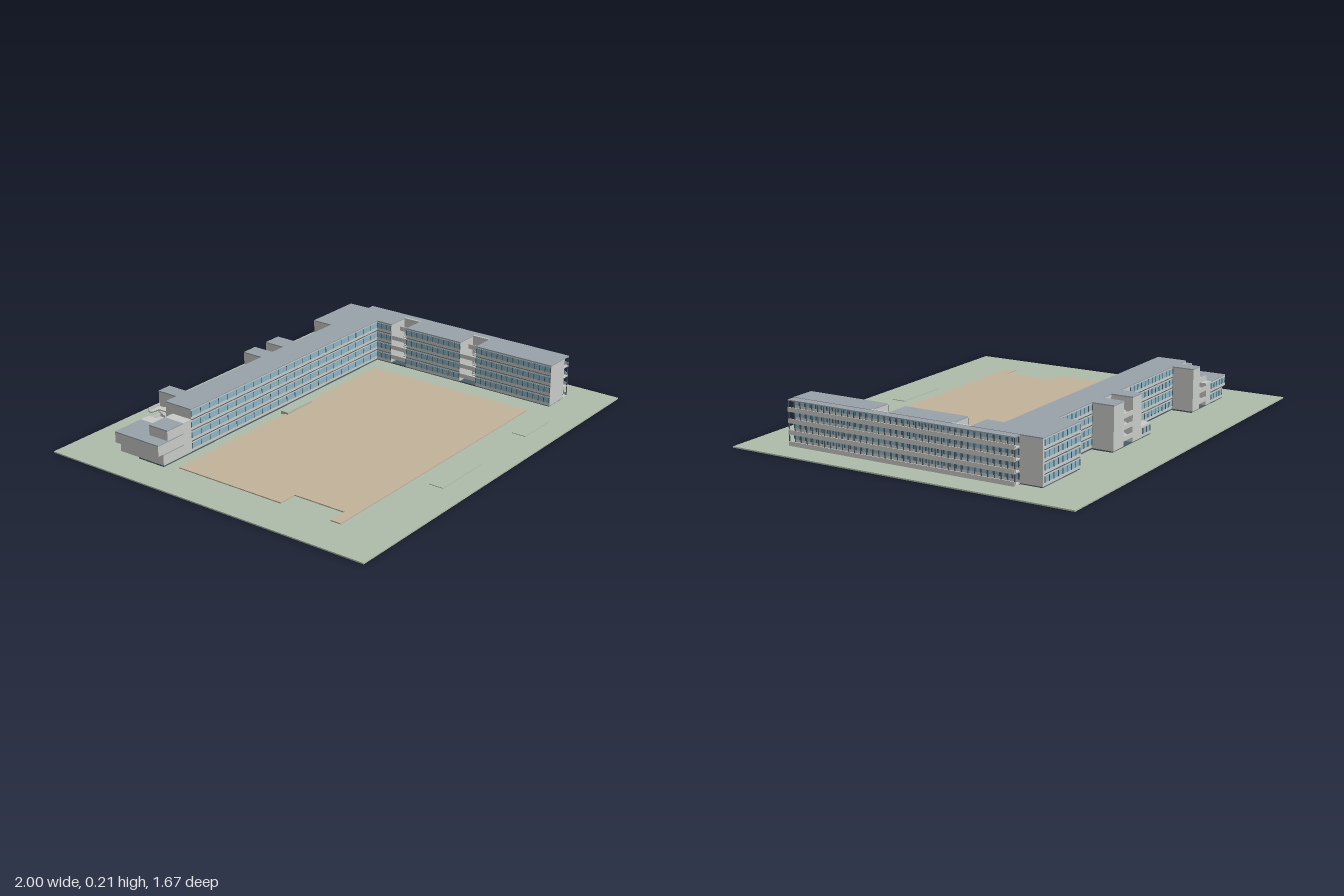
import * as THREE from 'three';
import { mergeGeometries } from 'three/addons/utils/BufferGeometryUtils.js';

const paint = (name, color) => {
  const m = new THREE.MeshStandardMaterial({ color });
  m.name = name;
  return m;
};

// Floor levels of the four storeys and the top of the roof
const FLOORS = [0.012, 0.062, 0.112, 0.162];
const TOP = 0.212;

// Box geometry from its extents
function box(x0, x1, y0, y1, z0, z1) {
  return new THREE.BoxGeometry(x1 - x0, y1 - y0, z1 - z0)
    .translate((x0 + x1) / 2, (y0 + y1) / 2, (z0 + z1) / 2);
}

export function createModel() {
  const model = new THREE.Group();
  const grass = paint('grass', 0xaebcaa);
  const sand = paint('sand', 0xc3b39b);
  const wall = paint('pale concrete', 0xc9cbc8);
  const roof = paint('grey roof', 0x9aa2aa);
  const glass = paint('blue glass', 0x8db4c3);
  const frame = paint('dark frame', 0x4c5d66);

  const part = (name, material, boxes, parent = model) => {
    const mesh = new THREE.Mesh(mergeGeometries(boxes), material);
    mesh.name = name;
    parent.add(mesh);
    return mesh;
  };

  // Solid volume with a grey roof plate
  const block = (name, x0, x1, z0, z1, y0 = FLOORS[0], y1 = TOP) => {
    part(name, wall, [box(x0, x1, y0, y1 - 0.005, z0, z1)]);
    part(name + 'Roof', roof, [box(x0, x1, y1 - 0.005, y1, z0, z1)]);
  };

  // Window bands on one face: axis is the direction the band runs in,
  // at is the plane of the wall and out its outward sign
  const windows = (name, axis, a, b, at, out, step = 0.03, floors = FLOORS, post = 0.003) => {
    const plate = (s, e, y0, y1, t) => {
      const p = Math.min(at, at + out * t), q = Math.max(at, at + out * t);
      return axis === 'x' ? box(s, e, y0, y1, p, q) : box(p, q, y0, y1, s, e);
    };
    part(name + 'Glass', glass, floors.map(y => plate(a, b, y + 0.015, y + 0.041, 0.002)));
    part(name + 'Sills', frame, floors.map(y => plate(a, b, y - 0.001, y + 0.001, 0.004)));
    const n = Math.max(1, Math.round((b - a) / step));
    const posts = [];
    for (const y of floors) {
      for (let i = 0; i <= n; i++) {
        const c = a + post / 2 + (b - a - post) * i / n;
        posts.push(plate(c - post / 2, c + post / 2, y + 0.015, y + 0.041, 0.004));
      }
    }
    part(name + 'Posts', frame, posts);
  };

  // Ground and sports yard with a notch on its west side
  part('ground', grass, [box(-1, 1, 0, 0.006, -0.835, 0.835)]);
  part('yard', sand, [
    box(-0.71, 0.61, 0.006, 0.011, -0.285, 0.575),
    box(-0.8, -0.71, 0.006, 0.011, -0.285, 0.27),
    box(-0.8, -0.71, 0.006, 0.011, 0.525, 0.575),
  ]);
  part('flowerBeds', grass, [
    box(-0.09, 0.09, 0.006, 0.021, -0.305, -0.265),
    box(-0.29, 0, 0.006, 0.009, 0.65, 0.72),
    box(0.36, 0.57, 0.006, 0.009, 0.65, 0.72),
  ]);
  part('plinth', frame, [
    box(-0.83, 0.83, 0.006, 0.012, -0.49, -0.345),
    box(0.715, 0.865, 0.006, 0.012, -0.34, 0.63),
    box(0.535, 0.825, 0.006, 0.012, -0.59, -0.49),
    box(-0.82, -0.51, 0.006, 0.012, -0.59, -0.49),
    box(-0.09, 0.25, 0.006, 0.012, -0.59, -0.49),
  ]);

  // Long north wing and its corner block
  block('northWing', -0.65, 0.53, -0.49, -0.345);
  block('cornerBlock', 0.53, 0.83, -0.595, -0.345);
  windows('northFront', 'x', -0.65, 0.71, -0.345, 1, 0.06, FLOORS, 0.0015);
  windows('cornerBack', 'x', 0.54, 0.82, -0.595, -1, 0.035);
  for (const [a, b] of [[-0.51, -0.09], [0.25, 0.53]]) {
    windows('northBack', 'x', a, b, -0.49, -1, 0.035);
  }

  // Towers beside the back stairs and the low annexe
  for (const [a, b] of [[-0.58, -0.51], [0, 0.08], [0.16, 0.25]]) {
    block('stairTower', a, b, -0.595, -0.49);
  }
  part('annexe', wall, [box(-0.09, 0, 0.012, 0.062, -0.595, -0.49)]);
  windows('annexe', 'x', -0.08, -0.01, -0.595, -1, 0.035, [FLOORS[0]]);

  // Stepped terraces at the west end
  block('terraceLow', -0.83, -0.7, -0.595, -0.345, 0.012, 0.064);
  block('terraceMiddle', -0.86, -0.7, -0.595, -0.345, 0.064, 0.116);
  block('terraceHigh', -0.8, -0.7, -0.45, -0.345, 0.116, 0.164);
  part('terraceLink', wall, [
    box(-0.7, -0.65, 0.012, 0.164, -0.45, -0.345),
    box(-0.7, -0.65, 0.012, 0.116, -0.595, -0.45),
  ]);
  windows('terraceBackLow', 'x', -0.82, -0.7, -0.595, -1, 0.03, [FLOORS[0]]);
  windows('terraceBackMiddle', 'x', -0.85, -0.7, -0.595, -1, 0.03, [0.064]);

  // East wing in three lengths, with open stairs between them
  for (const [a, b] of [[-0.345, -0.26], [-0.17, 0.14], [0.23, 0.635]]) {
    block('eastWing', 0.71, 0.83, a, b);
    windows('eastCourt', 'z', a, b, 0.71, -1, 0.03);
  }
  part('stairBackWalls', wall, [[-0.26, -0.17], [0.14, 0.23]]
    .map(([a, b]) => box(0.82, 0.83, 0.012, TOP, a, b)));
  windows('eastOuter', 'z', -0.49, 0.635, 0.83, 1, 0.03, FLOORS, 0.006);

  // Open galleries along the east face
  part('gallerySlabs', wall, FLOORS.map(y => box(0.83, 0.87, y - 0.003, y + 0.002, -0.49, 0.635)));
  part('galleryParapets', wall, FLOORS.map(y => box(0.867, 0.871, y - 0.005, y + 0.015, -0.49, 0.635)));
  part('galleryRoof', roof, [box(0.83, 0.871, TOP - 0.007, TOP - 0.002, -0.49, 0.635)]);
  const columns = [];
  for (let i = 0; i <= 36; i++) {
    const z = -0.488 + i * 1.121 / 36;
    columns.push(box(0.865, 0.868, 0.012, TOP - 0.007, z - 0.002, z + 0.002));
  }
  part('galleryColumns', frame, columns);

  // Open stair: landings and two flights per storey, running out along local +z
  const stair = (x, z, width, depth, turn) => {
    const g = new THREE.Group();
    g.name = 'openStair';
    const h = width / 2, near = depth * 0.35, far = depth * 0.78;
    const slabs = [], steps = [];
    FLOORS.forEach((y, f) => {
      slabs.push(box(-h, h, y - 0.004, y + 0.002, 0, near));
      if (f === 3) return;
      slabs.push(box(-h, h, y + 0.021, y + 0.027, far, depth));
      slabs.push(box(-h, h, y + 0.027, y + 0.042, depth - 0.004, depth));
      const run = (far - near) / 5;
      for (let i = 0; i < 5; i++) {
        const s = near + i * run, up = y + (i + 1) * 0.0042;
        steps.push(box(-h, -0.002, up - 0.004, up, s, s + run));
        const back = y + 0.05 - i * 0.0045;
        steps.push(box(0.002, h, back - 0.005, back, s, s + run));
      }
    });
    // Parapet of the top landing
    slabs.push(box(-h, 0.002, 0.16, 0.18, near - 0.004, near));
    part('landings', wall, slabs, g);
    part('steps', wall, steps, g);
    g.position.set(x, 0, z);
    g.rotation.y = turn;
    model.add(g);
  };
  stair(-0.615, -0.49, 0.07, 0.105, Math.PI);
  stair(0.12, -0.49, 0.08, 0.105, Math.PI);
  stair(0.82, -0.215, 0.09, 0.11, -Math.PI / 2);
  stair(0.82, 0.185, 0.09, 0.11, -Math.PI / 2);

  return model;
}
